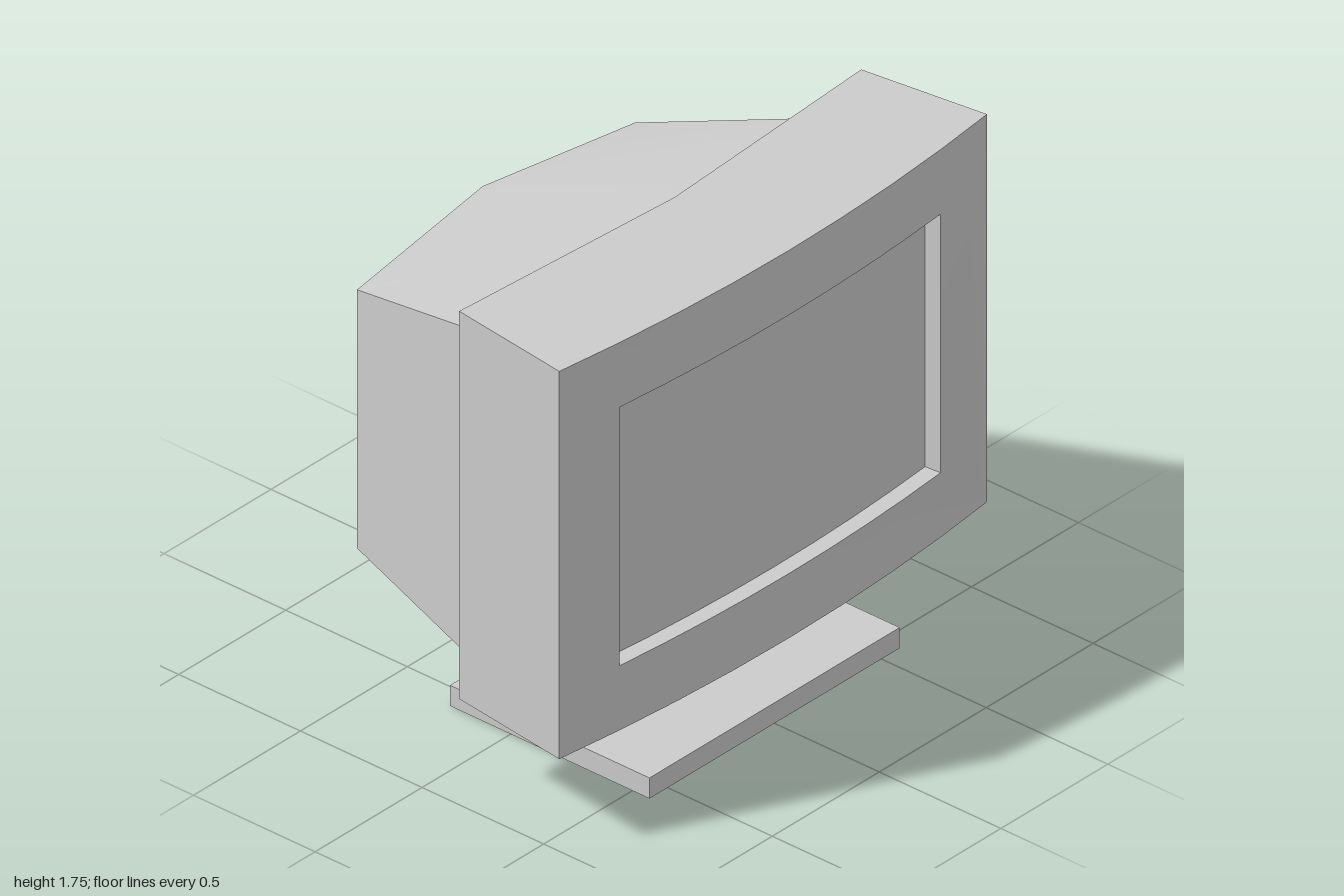
import * as THREE from 'three';
import { toCreasedNormals } from 'three/addons/utils/BufferGeometryUtils.js';

const material = new THREE.MeshStandardMaterial({ color: 0xcccccc });

// Rectangular ring: n points along the top, then n back along the bottom.
// bottom, top are functions of t = |x| / halfWidth; z is a function of x.
function ring(n, halfWidth, bottom, top, z) {
  const upper = [], lower = [];
  for (let i = 0; i < n; i++) {
    const s = (2 * i) / (n - 1) - 1, x = s * halfWidth, t = Math.abs(s);
    upper.push([x, top(t), z(x)]);
    lower.unshift([x, bottom(t), z(x)]);
  }
  return [...upper, ...lower];
}

// Skin the rings from back to front, with optional end faces.
function loft(rings, capBack, capFront) {
  const pos = [];
  const quad = (a, b, c, d) => pos.push(...a, ...b, ...c, ...a, ...c, ...d);
  const m = rings[0].length, n = m / 2;
  for (let r = 0; r + 1 < rings.length; r++) {
    const a = rings[r], b = rings[r + 1];
    for (let i = 0; i < m; i++) {
      const j = (i + 1) % m;
      quad(a[i], b[i], b[j], a[j]);
    }
  }
  for (let i = 0; i + 1 < n; i++) {
    const f = rings[rings.length - 1], k = rings[0];
    if (capFront) quad(f[i], f[m - 1 - i], f[m - 2 - i], f[i + 1]);
    if (capBack) quad(k[i], k[i + 1], k[m - 2 - i], k[m - 1 - i]);
  }
  const geo = new THREE.BufferGeometry();
  geo.setAttribute('position', new THREE.Float32BufferAttribute(pos, 3));
  return toCreasedNormals(geo, 0.35);
}

export function createModel() {
  const model = new THREE.Group();
  const add = (name, geo) => {
    const mesh = new THREE.Mesh(geo, material);
    mesh.name = name;
    model.add(mesh);
    return mesh;
  };
  const flat = (v) => () => v;
  const frontZ = (x) => 0.63 - 0.066 * x * x;
  const screenZ = (x) => frontZ(x) - 0.06;
  const seamZ = (x) => 0.16 - 0.064 * Math.abs(x);

  // Front frame: bowed face, recessed opening, shallow V at the back
  const N = 9;
  const screenRing = ring(N, 0.745, flat(0.57), flat(1.51), screenZ);
  add('bezel', loft([
    ring(N, 0.94, flat(0.335), flat(1.745), seamZ),
    ring(N, 1, flat(0.335), flat(1.745), frontZ),
    ring(N, 0.75, flat(0.57), flat(1.51), frontZ),
    screenRing,
  ], true, false));

  // Bowed screen at the bottom of the recess
  add('screen', loft([screenRing], false, true));

  // Tapering rear housing with a slightly bowed back
  add('rearHousing', loft([
    ring(3, 0.65, (t) => 0.425 + 0.045 * t, (t) => 1.46 - 0.05 * t,
      (x) => -0.63 + 0.055 * Math.abs(x) / 0.65),
    ring(3, 0.84, flat(0.4), flat(1.62), seamZ),
  ], true, false));

  // Slanted neck: a box tapered in width and leaned backwards
  const neck = new THREE.BoxGeometry(1, 1, 1);
  const p = neck.attributes.position;
  for (let i = 0; i < p.count; i++) {
    const up = p.getY(i) > 0, front = p.getZ(i) > 0;
    p.setXYZ(i, Math.sign(p.getX(i)) * (up ? 0.125 : 0.24), up ? 0.43 : 0.07,
      up ? (front ? -0.023 : -0.435) : (front ? 0.254 : -0.115));
  }
  neck.computeVertexNormals();
  add('neck', neck);

  // Flat foot
  add('base', new THREE.BoxGeometry(1.17, 0.075, 0.82)).position.set(0, 0.0375, 0.16);

  return model;
}
